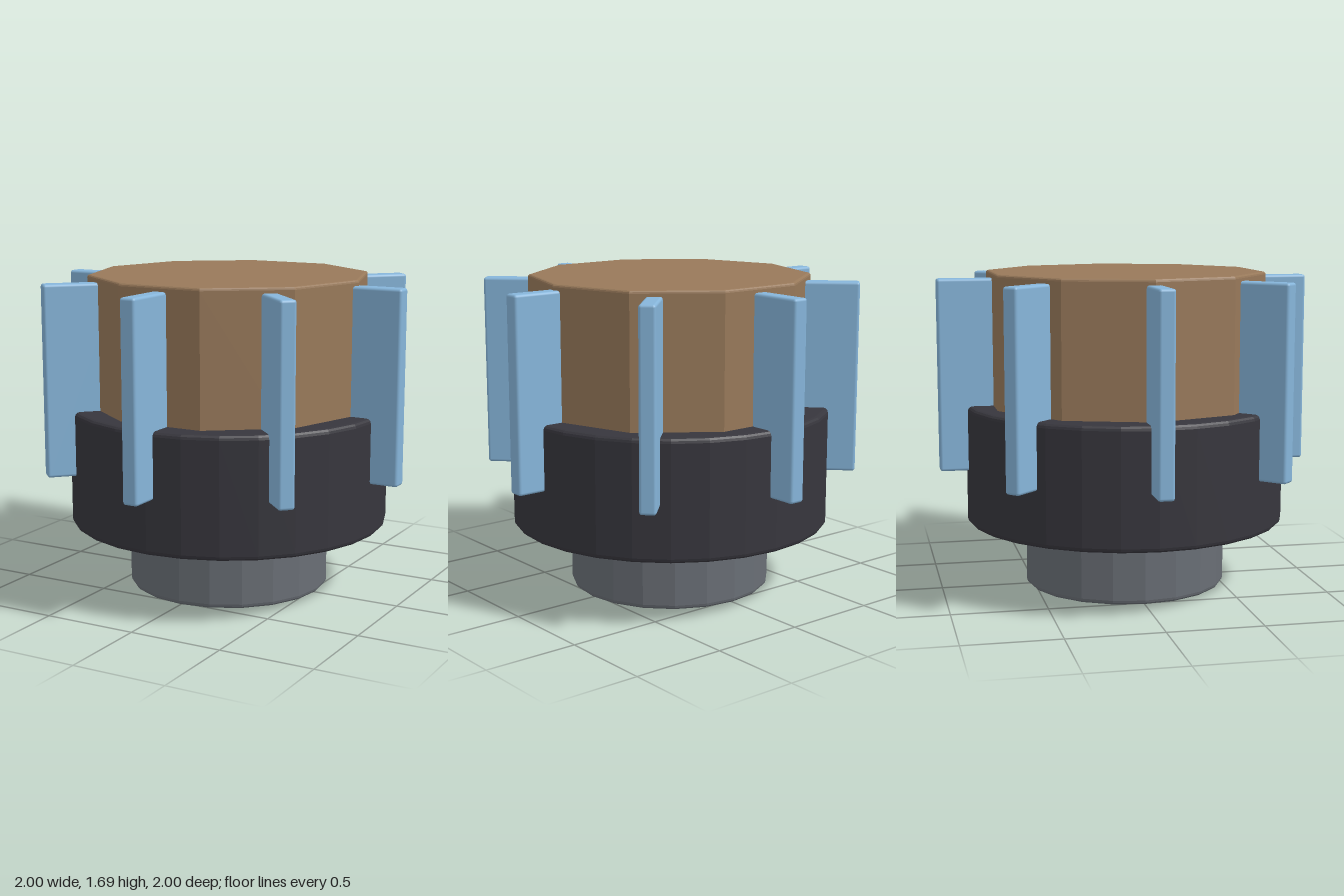
import * as THREE from 'three';
import { RoundedBoxGeometry } from 'three/addons/geometries/RoundedBoxGeometry.js';

function material(name, color) {
  const m = new THREE.MeshStandardMaterial({ color });
  m.name = name;
  return m;
}

// Faceted drum with rounded rims; a corner of the polygon points to +x
function drum(name, radius, bottom, top, sides, bevel, mat) {
  const points = [new THREE.Vector2(0, bottom)];
  const steps = 3;
  for (const end of [0, 1]) {
    for (let i = 0; i <= steps; i++) {
      const a = (end + i / steps - 1) * Math.PI / 2;
      const cy = end ? top - bevel : bottom + bevel;
      points.push(new THREE.Vector2(radius - bevel + Math.cos(a) * bevel, cy + Math.sin(a) * bevel));
    }
  }
  points.push(new THREE.Vector2(0, top));
  const geometry = new THREE.LatheGeometry(points, sides, Math.PI / 2).toNonIndexed();
  geometry.computeVertexNormals();
  const mesh = new THREE.Mesh(geometry, mat);
  mesh.name = name;
  return mesh;
}

export function createModel() {
  const group = new THREE.Group();
  group.name = 'finnedKnob';
  const brown = material('brown', 0x98795a);
  const charcoal = material('charcoal', 0x37363d);
  const grey = material('grey', 0x696e75);
  const blue = material('light blue', 0x86b5da);

  // Stacked body: foot, collar and ten-sided head
  group.add(drum('foot', 0.54, 0, 0.37, 20, 0.025, grey));
  group.add(drum('collar', 0.855, 0.355, 0.99, 28, 0.025, charcoal));
  group.add(drum('head', 0.75, 0.9, 1.69, 10, 0.015, brown));

  // Eight upright fins around the head, sunk into head and collar
  const inner = 0.6, outer = 1, low = 0.645, high = 1.66;
  const finGeometry = new RoundedBoxGeometry(outer - inner, high - low, 0.085, 2, 0.015);
  finGeometry.translate((inner + outer) / 2, (low + high) / 2, 0);
  const fins = new THREE.Group();
  fins.name = 'fins';
  for (let i = 0; i < 8; i++) {
    const fin = new THREE.Mesh(finGeometry, blue);
    fin.name = 'fin' + (i + 1);
    fin.rotation.y = i * Math.PI / 4;
    fins.add(fin);
  }
  group.add(fins);
  return group;
}
